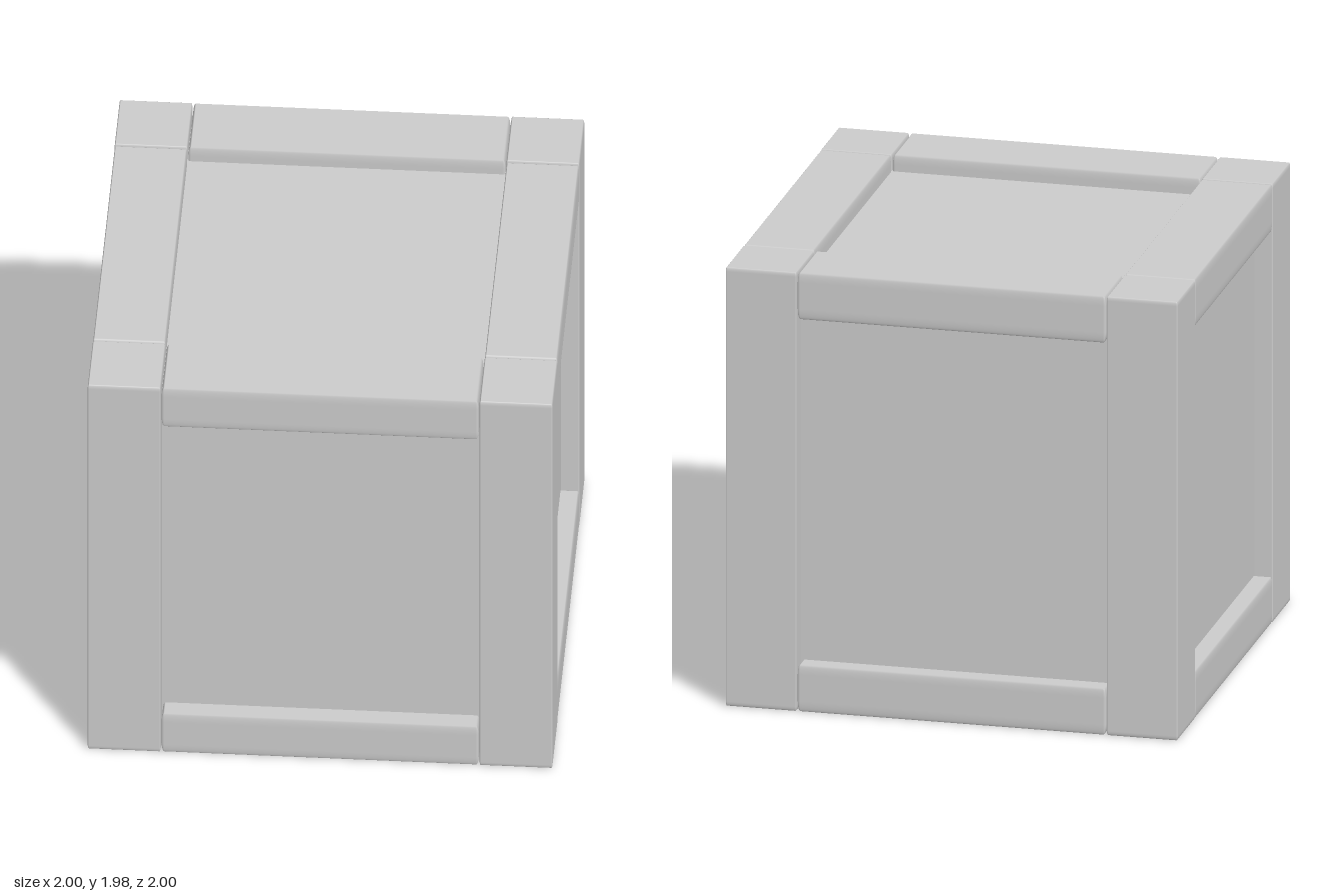
import * as THREE from 'three';
import { RoundedBoxGeometry } from 'three/addons/geometries/RoundedBoxGeometry.js';

const HEIGHT = 1.98;
const BEAM = 0.314; // beam thickness seen from above
const RAIL_HEIGHT = 0.21;
const RAIL_LENGTH = 1.364;

// Box with a different edge rounding along each axis
function softBox(size, radius) {
  const [w, h, d] = size.map((s, i) => s / radius[i]);
  return new RoundedBoxGeometry(w, h, d, 3, 1).scale(...radius);
}

export function createModel() {
  const group = new THREE.Group();
  const material = new THREE.MeshStandardMaterial({ color: 0xcccccc });

  const add = (name, geometry, x, y, z, turn = 0) => {
    const mesh = new THREE.Mesh(geometry, material);
    mesh.name = name;
    mesh.position.set(x, y, z);
    mesh.rotation.y = turn;
    group.add(mesh);
  };

  // Recessed panels on all six sides
  add('innerBox', new THREE.BoxGeometry(1.84, 1.83, 1.84), 0, HEIGHT / 2, 0);

  const post = softBox([BEAM, HEIGHT, BEAM], [0.006, 0.02, 0.006]);
  const rail = softBox([RAIL_LENGTH, RAIL_HEIGHT, BEAM], [0.012, 0.045, 0.007]);
  const offset = 1 - BEAM / 2;

  // Four corner posts
  for (const x of [-1, 1]) {
    for (const z of [-1, 1]) {
      add('cornerPost', post, x * offset, HEIGHT / 2, z * offset);
    }
  }

  // Bottom and top rails between the posts, one per side
  for (const [name, y] of [['bottomRail', RAIL_HEIGHT / 2], ['topRail', HEIGHT - RAIL_HEIGHT / 2]]) {
    for (let i = 0; i < 4; i++) {
      const turn = (i * Math.PI) / 2;
      add(name, rail, Math.sin(turn) * offset, y, Math.cos(turn) * offset, turn);
    }
  }

  return group;
}
